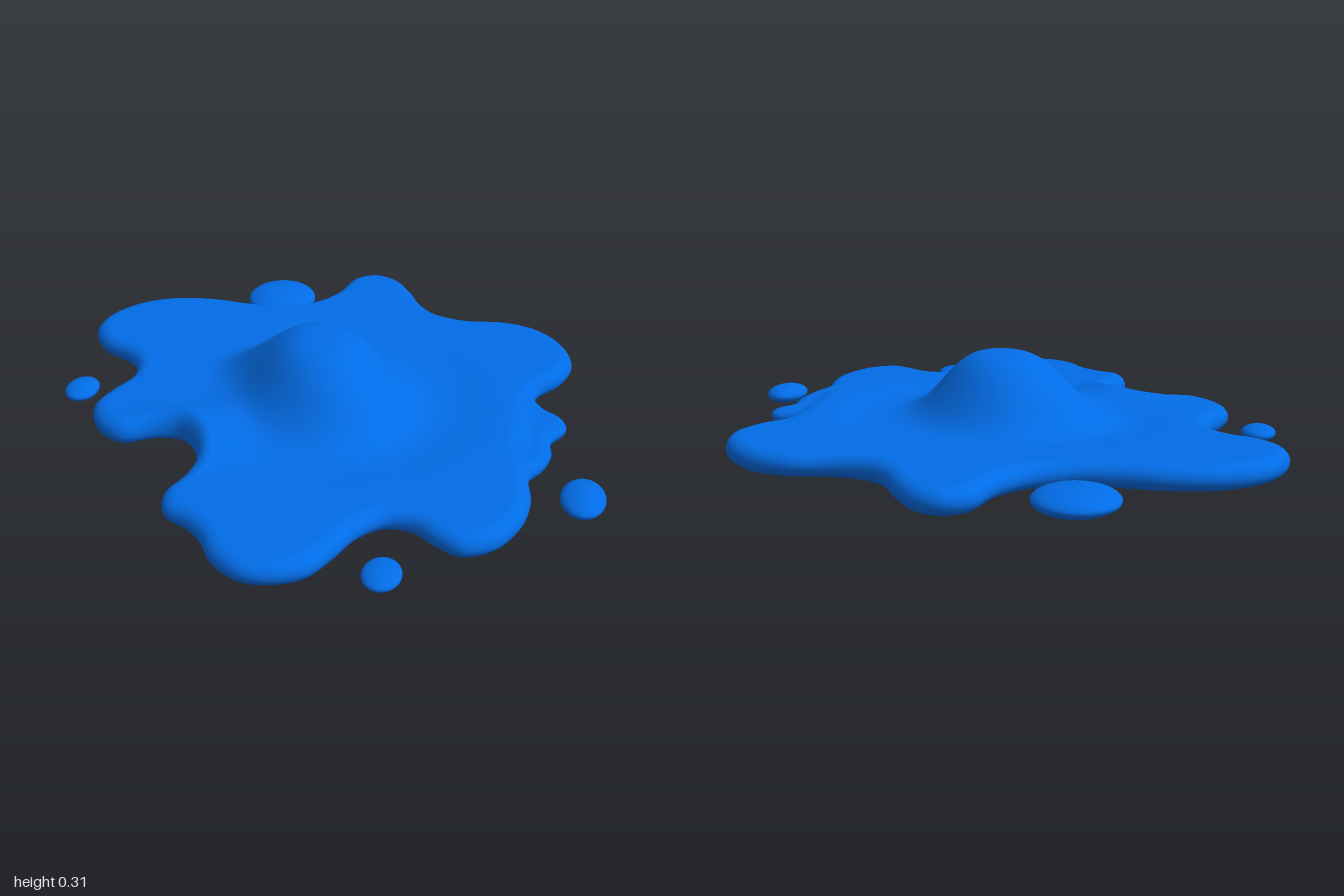
import * as THREE from 'three';
import { mergeVertices } from 'three/addons/utils/BufferGeometryUtils.js';

const N = 320; // points around the puddle

// Closed outline seen from above, as x, z pairs
const OUTLINE = [
  0, -1, .09, -.97, .16, -.88, .22, -.77, .29, -.7, .4, -.67, .55, -.685, .68, -.65, .78, -.55, .82, -.42,
  .78, -.3, .72, -.22, .705, -.16, .74, -.1, .8, -.055, .822, .01, .775, .1, .782, .18, .76, .26, .72, .33,
  .735, .45, .72, .57, .65, .7,
  .55, .75, .46, .71, .39, .66, .31, .66, .24, .73, .19, .84, .13, .94, .03, .99, -.07, .99, -.16, .93,
  -.22, .84, -.285, .78, -.36, .74, -.385, .66, -.35, .56, -.34, .46, -.38, .36, -.45, .3, -.53, .31, -.63, .36,
  -.72, .32, -.78, .21, -.755, .1, -.715, 0, -.73, -.1, -.79, -.17, -.9, -.23, -.965, -.33, -.95, -.45, -.87, -.56,
  -.75, -.63, -.6, -.655, -.45, -.645, -.32, -.65, -.2, -.71, -.13, -.81, -.085, -.95,
];

// Opening in the underside, as x, z pairs
const OPENING = [
  .325, .25, .35, .03, .25, -.25, -.09, -.38, -.26, -.365, -.42, -.2,
  -.45, -.01, -.355, .105, -.17, .246, -.01, .39, .14, .39,
];

function closedCurve(pairs) {
  const pts = [];
  for (let i = 0; i < pairs.length; i += 2) pts.push(new THREE.Vector3(pairs[i], 0, pairs[i + 1]));
  return new THREE.CatmullRomCurve3(pts, true, 'centripetal');
}

// Outline samples with their outward normals
function sampleOutline() {
  const curve = closedCurve(OUTLINE);
  return Array.from({ length: N }, (_, i) => {
    const p = curve.getPointAt(i / N), t = curve.getTangentAt(i / N);
    return { x: p.x, z: p.z, nx: t.z, nz: -t.x };
  });
}

const bump = (x, z, cx, cz, width) => Math.exp(-((x - cx) ** 2 + (z - cz) ** 2) / width ** 2);

// Height of the liquid surface
function surfaceHeight(x, z) {
  // oval dome, long axis running diagonally
  const along = (0.45 * x + 0.89 * z + 0.02) / 0.3, across = (0.89 * x - 0.45 * z + 0.01) / 0.23;
  const dome = Math.exp(-Math.pow(Math.hypot(along, across), 3.4));
  // arm beside the dome, swell at the deep notch, lower lobes on one side
  const arm = 0.05 * bump(x, z, -0.27, -0.12, 0.13);
  const swell = 0.038 * bump(x, z, -0.38, 0.29, 0.19);
  const lobes = 0.022 * THREE.MathUtils.smoothstep(x, 0.63, 0.72) * Math.exp(-(((z - 0.05) / 0.22) ** 4));
  return 0.103 + 0.207 * dome + (arm + swell) * (1 - dome) - lobes;
}

// Skin a list of closed rings, each an array of [x, y, z]
function skin(rings) {
  const index = [];
  for (let j = 0; j < rings.length - 1; j++) {
    for (let i = 0; i < N; i++) {
      const k = (i + 1) % N;
      const a = j * N + i, b = j * N + k, c = a + N, d = b + N;
      index.push(a, b, c, b, d, c);
    }
  }
  let g = new THREE.BufferGeometry();
  g.setAttribute('position', new THREE.Float32BufferAttribute(rings.flat(2), 3));
  g.setIndex(index);
  g = mergeVertices(g, 1e-5);
  g.computeVertexNormals();
  return g;
}

export function createModel() {
  const group = new THREE.Group();
  const blue = new THREE.MeshStandardMaterial({ color: 0x0270ee, side: THREE.DoubleSide });
  blue.name = 'blue liquid';
  const beige = new THREE.MeshStandardMaterial({ color: 0xe6d9bd, side: THREE.DoubleSide });
  beige.name = 'beige underside';

  const add = (name, geometry, material) => {
    const m = new THREE.Mesh(geometry, material);
    m.name = name;
    group.add(m);
    return m;
  };

  const outline = sampleOutline();
  const EDGE = 0.05, MID = 0.06, BOTTOM = 0.02;
  const inset = (p, d) => [p.x - p.nx * d, p.z - p.nz * d];
  const rings = [];

  // Upper surface, from the centre to the start of the rounded rim
  const STEPS = 56;
  for (let j = 0; j <= STEPS; j++) {
    const s = j / STEPS;
    rings.push(outline.map((p) => {
      const [x, z] = inset(p, EDGE).map((v) => v * s);
      const r = Math.hypot(x, z);
      const dip = 0.016 * Math.exp(-(((r - 0.42) / 0.15) ** 2)) * (1 - s ** 6);
      return [x, surfaceHeight(x, z) - dip, z];
    }));
  }

  // Rounded rim, curling round to the underside
  for (let j = 1; j <= 12; j++) {
    const a = Math.PI / 2 - (j / 12) * Math.PI;
    rings.push(outline.map((p) => {
      const [x, z] = inset(p, EDGE * (1 - Math.cos(a)));
      const h = a > 0 ? surfaceHeight(x, z) - MID : MID - BOTTOM;
      return [x, MID + h * Math.sin(a), z];
    }));
  }

  // Flat band under the rim, wider and raised at the deep notch
  const bandEdge = outline.map((p) => {
    const [x, z] = inset(p, EDGE);
    const notch = bump(x, z, -0.35, 0.4, 0.13);
    const s = 0.91 - 0.24 * notch;
    return [x * s, BOTTOM + 0.003 + 0.045 * notch, z * s];
  });
  rings.push(bandEdge);
  add('puddle', skin(rings), blue);

  // Hollow underside, rising quickly to an opening below the dome
  const openingPoints = closedCurve(OPENING).getSpacedPoints(720);
  const openingEdge = bandEdge.map(([x, , z]) => {
    const l = Math.hypot(x, z);
    const along = (q) => (q.x * x + q.z * z) / (q.length() * l);
    return openingPoints.reduce((best, q) => (along(q) > along(best) ? q : best));
  });
  const under = [];
  for (let j = 0; j <= 16; j++) {
    const t = (j / 16) ** 1.5;
    under.push(bandEdge.map(([x, y, z], i) => {
      const q = openingEdge[i];
      return [x + (q.x - x) * t, y + (0.076 - y) * (1 - (1 - t) ** 4), z + (q.z - z) * t];
    }));
  }
  add('underside', skin(under), beige);

  // Loose droplets: centre, then radii
  const sphere = new THREE.SphereGeometry(1, 40, 24);
  const drops = [
    ['backDroplet', -.355, .04, -.807, .133, .04, .142],
    ['leftDroplet', .893, .048, .385, .072, .033, .103],
    ['frontDroplet', .34, .049, .883, .06, .024, .077],
    ['rightDroplet', -.882, .046, .055, .058, .026, .077],
  ];
  for (const [name, x, y, z, rx, ry, rz] of drops) {
    const m = add(name, sphere, blue);
    m.position.set(x, y, z);
    m.scale.set(rx, ry, rz);
  }

  return group;
}
